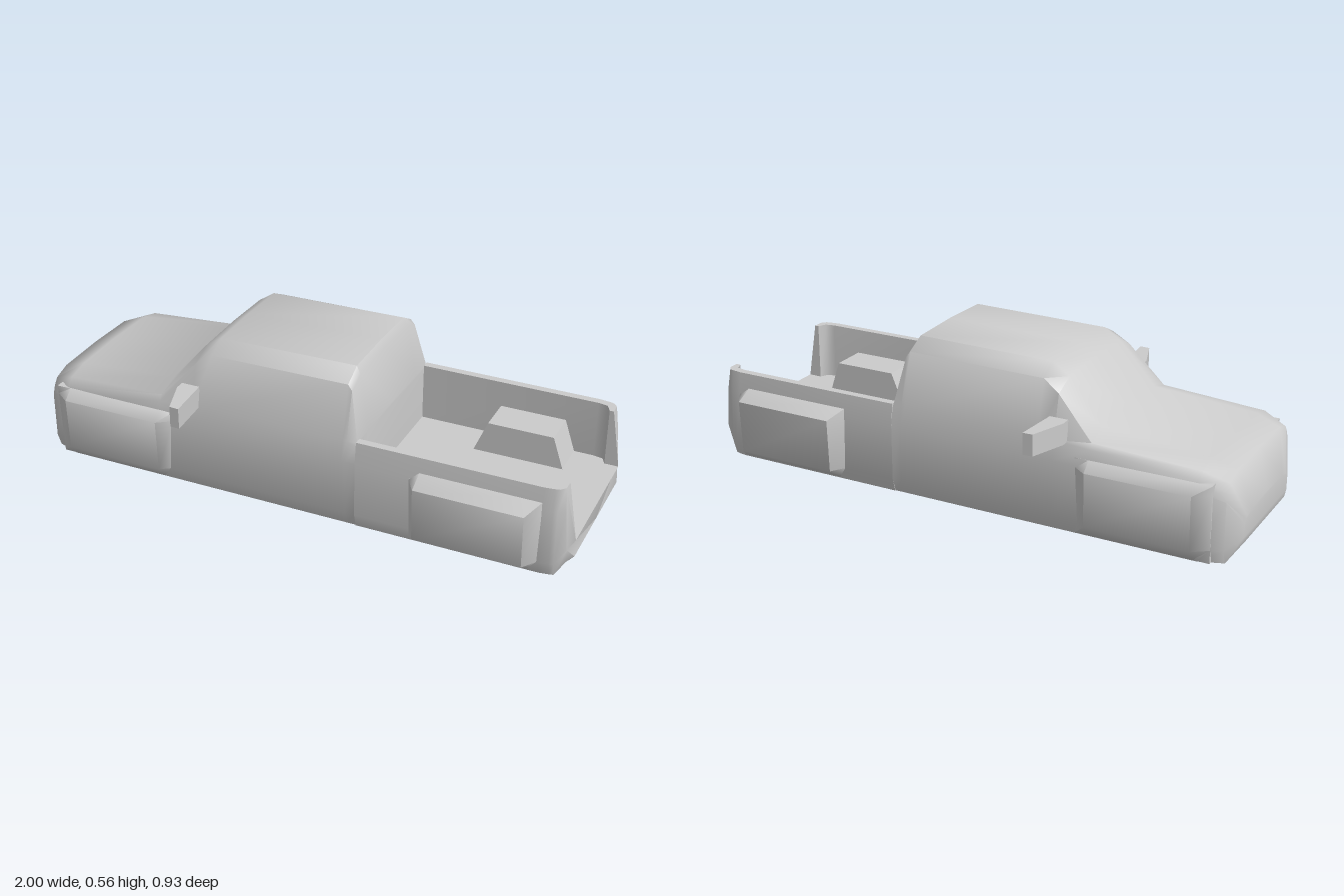
import * as THREE from 'three';
import { toCreasedNormals } from 'three/addons/utils/BufferGeometryUtils.js';

const material = new THREE.MeshStandardMaterial({ color: 0xcccccc, roughness: 0.8 });

function addPart(parent, name, geometry, crease = 1.0) {
  const mesh = new THREE.Mesh(toCreasedNormals(geometry, crease), material);
  mesh.name = name;
  parent.add(mesh);
}

// Skins closed rings of [x, y, z] points (running from +z up to +y), capping both ends.
function loft(rings) {
  const n = rings[0].length, index = [];
  for (let i = 0; i < rings.length - 1; i++) {
    for (let j = 0; j < n; j++) {
      const a = i * n + j, b = i * n + (j + 1) % n;
      index.push(a, a + n, b + n, a, b + n, b);
    }
  }
  const capOf = ring => THREE.ShapeUtils.triangulateShape(ring.map(p => new THREE.Vector2(p[2], p[1])), []);
  const last = (rings.length - 1) * n;
  for (const [a, b, c] of capOf(rings[0])) index.push(a, b, c);
  for (const [a, b, c] of capOf(rings[rings.length - 1])) index.push(last + a, last + c, last + b);
  const geometry = new THREE.BufferGeometry();
  geometry.setAttribute('position', new THREE.Float32BufferAttribute(rings.flat(2), 3));
  geometry.setIndex(index);
  return geometry;
}

// Completes a half section whose first and last points lie on the centre plane.
const mirrorHalf = half => [...half, ...half.slice(1, -1).reverse().map(([x, y, z]) => [x, y, -z])];

// Moves a one-sided ring to the given side and keeps its winding.
const toSide = (ring, side) => side > 0 ? ring : ring.map(([x, y, z]) => [x, y, -z]).reverse();

export function createModel() {
  const truck = new THREE.Group();
  truck.name = 'pickupTruck';

  // Hood and cab: x, bottom, low, belt, beltTop, halfWidth, shoulderZ, shoulderY, roofEdgeZ, top
  const cabStations = [
    [-1.0, 0.05, 0.07, 0.12, 0.13, 0.21, 0.19, 0.138, 0.15, 0.15],
    [-0.965, 0, 0.05, 0.22, 0.25, 0.295, 0.265, 0.275, 0.2, 0.3],
    [-0.88, 0, 0.05, 0.25, 0.285, 0.325, 0.29, 0.308, 0.21, 0.332],
    [-0.5, 0, 0.05, 0.25, 0.31, 0.325, 0.3, 0.33, 0.21, 0.36],
    [-0.37, 0, 0.05, 0.25, 0.32, 0.325, 0.28, 0.47, 0.2, 0.51],
    [-0.31, 0, 0.05, 0.25, 0.325, 0.325, 0.27, 0.51, 0.2, 0.55],
    [0.2, 0, 0.05, 0.25, 0.325, 0.325, 0.27, 0.515, 0.2, 0.557],
    [0.215, 0, 0.05, 0.25, 0.325, 0.325, 0.272, 0.495, 0.205, 0.53],
    [0.25, 0, 0.05, 0.25, 0.315, 0.325, 0.305, 0.325, 0.21, 0.33],
  ];
  addPart(truck, 'cabAndHood', loft(cabStations.map(([x, bottom, low, belt, beltTop, w, sz, sy, ez, top]) =>
    mirrorHalf([
      [x, bottom, 0], [x, bottom, w - 0.018], [x, low, w], [x, belt, w],
      [x, beltTop, w - 0.012], [x, sy, sz], [x, top - 0.005, ez], [x, top, 0],
    ]))));

  // Open cargo bed, with posts turning inward at the rear: x, bottom, halfWidth, innerHalfWidth, rear lean
  const bedStations = [
    [0.25, 0, 0.325, 0.287, 0],
    [0.9, 0, 0.325, 0.287, 0],
    [0.935, 0, 0.32, 0.28, 0],
    [0.95, 0, 0.316, 0.25, 0],
    [1.0, 0.055, 0.298, 0.25, 1],
  ];
  addPart(truck, 'cargoBed', loft(bedStations.map(([x, bottom, w, inner, lean]) => {
    const wall = x - 0.015 * lean, rim = x - 0.035 * lean;
    return mirrorHalf([
      [x, bottom, 0], [x, bottom, inner], [wall, bottom, w - 0.015], [wall, bottom + 0.05, w],
      [wall - 0.012 * lean, 0.25, w], [rim, 0.33, w - 0.01], [rim, 0.33, inner],
      [x, 0.118, inner], [x, 0.118, 0],
    ]);
  })));

  for (const side of [1, -1]) {
    const label = side > 0 ? 'Left' : 'Right';

    // Bulging fenders, given as [x, halfWidth] stations
    const fenders = {
      frontFender: [[-0.925, 0.318], [-0.87, 0.358], [-0.5, 0.358], [-0.45, 0.322]],
      rearFender: [[0.445, 0.326], [0.48, 0.384], [0.86, 0.384], [0.9, 0.326]],
    };
    for (const [name, stations] of Object.entries(fenders)) {
      addPart(truck, name + label, loft(stations.map(([x, w]) => toSide([
        [x, 0.002, 0.29], [x, 0.002, 0.308], [x, 0.05, w - 0.008],
        [x, 0.245, w], [x, 0.277, 0.32], [x, 0.277, 0.29],
      ], side))));
    }

    // Sloped wheel housing inside the bed
    const housing = new THREE.Shape([[0.5, 0.115], [0.83, 0.115], [0.79, 0.235], [0.55, 0.235]]
      .map(p => new THREE.Vector2(...p)));
    const housingGeometry = new THREE.ExtrudeGeometry(housing, { depth: 0.145, bevelEnabled: false });
    housingGeometry.translate(0, 0, side > 0 ? 0.15 : -0.295);
    addPart(truck, 'wheelHousing' + label, housingGeometry);

    // Door mirror: plan outline extruded upward
    const outline = new THREE.Shape([[-0.415, 0.3], [-0.415, 0.335], [-0.37, 0.465], [-0.335, 0.467], [-0.348, 0.3]]
      .map(([x, z]) => new THREE.Vector2(x, -z * side)));
    const mirrorGeometry = new THREE.ExtrudeGeometry(outline, { depth: 0.076, bevelEnabled: false });
    mirrorGeometry.rotateX(-Math.PI / 2).translate(0, 0.319, 0);
    addPart(truck, 'doorMirror' + label, mirrorGeometry);
  }

  return truck;
}
